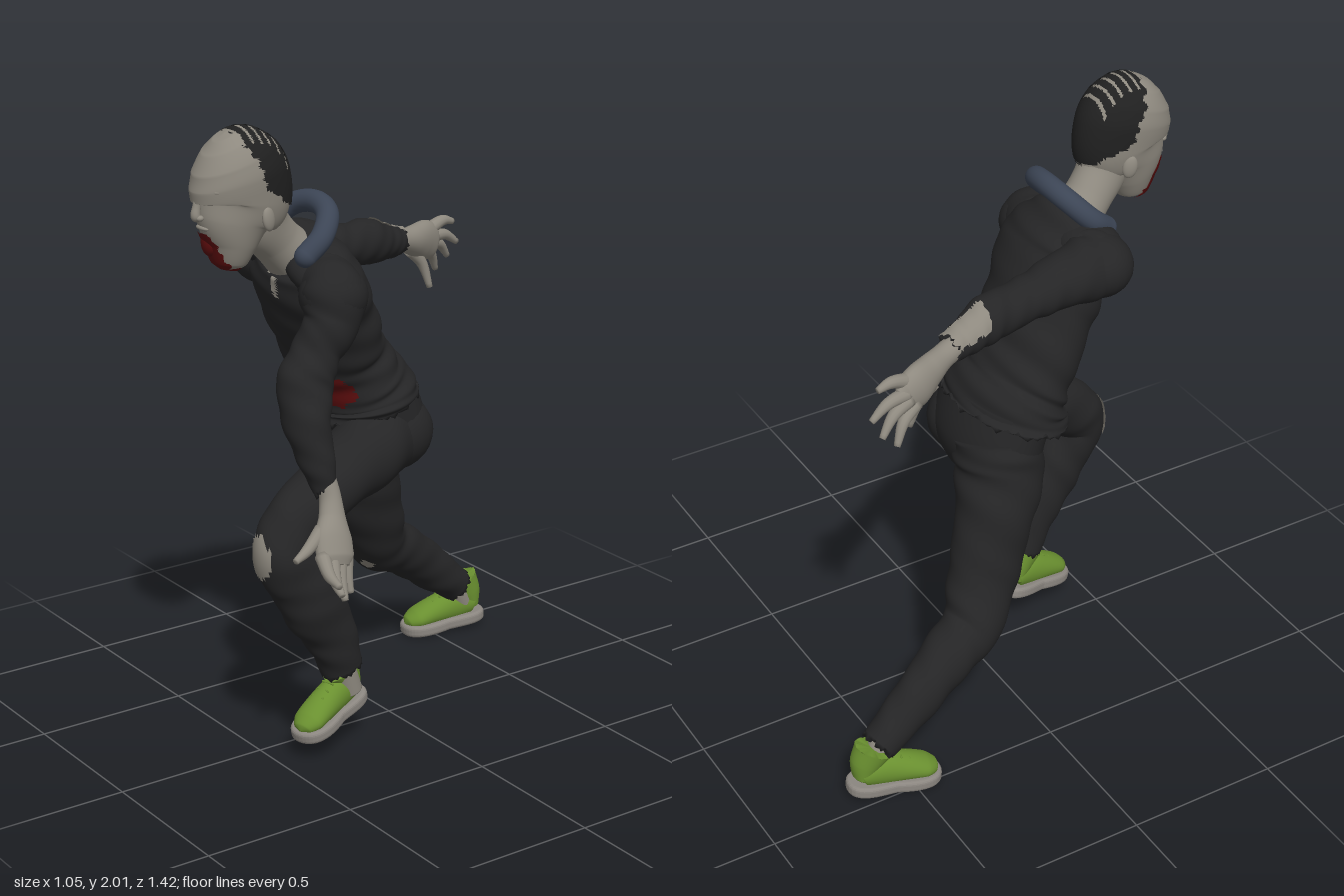
import * as THREE from 'three';

const mat = (name, color, side = THREE.DoubleSide) =>
  Object.assign(new THREE.MeshStandardMaterial({ color, side }), { name });
const M = {
  skin: mat('skin grey', 0x8e897f), cloth: mat('black cloth', 0x252526), hair: mat('dark hair', 0x202020),
  blood: mat('blood red', 0x5a0d0d), collar: mat('collar blue', 0x3c4555),
  shoe: mat('shoe green', 0x6a9030), sole: mat('sole grey', 0x8b8680),
};

// Loft of elliptical rings; each section is [x, y, z, radius sideways, radius across].
// keep(x, y, z) leaves only some faces, which gives torn patches lying on a part.
function loft(secs, { rings = 48, segs = 36, wrinkle = 0, grow = 0, jag = 0, keep } = {}) {
  const path = new THREE.CatmullRomCurve3(secs.map(s => new THREE.Vector3(s[0], s[1], s[2])));
  const size = new THREE.CatmullRomCurve3(secs.map(s => new THREE.Vector3(s[3], s[4] ?? s[3], 0)));
  const P = [], index = [];
  for (let i = 0; i <= rings; i++) {
    const t = i / rings, c = path.getPoint(t), r = size.getPoint(t), T = path.getTangent(t);
    const U = new THREE.Vector3(1, 0, 0).addScaledVector(T, -T.x).normalize();
    const V = new THREE.Vector3().crossVectors(T, U);
    for (let j = 0; j < segs; j++) {
      const a = j / segs * Math.PI * 2;
      const k = 1 + wrinkle * (Math.sin(t * 38 + 2 * Math.sin(a + t * 5)) * 0.6 + Math.sin(t * 61 + 3 * a) * 0.4);
      const p = c.clone().addScaledVector(U, Math.cos(a) * (r.x * k + grow))
        .addScaledVector(V, Math.sin(a) * (r.y * k + grow));
      if (i === rings) p.addScaledVector(T, jag * (Math.sin(j * 2.3) + Math.sin(j * 0.9)));
      P.push(p);
    }
  }
  const face = (a, b, c) => {
    const m = P[a].clone().add(P[b]).add(P[c]).divideScalar(3);
    if (!keep || keep(m.x, m.y, m.z)) index.push(a, b, c);
  };
  for (let i = 0; i < rings; i++) for (let j = 0; j < segs; j++) {
    const a = i * segs + j, b = i * segs + (j + 1) % segs;
    face(a, b, a + segs);
    face(b, b + segs, a + segs);
  }
  if (!keep) { // end caps
    const n = P.length, last = rings * segs;
    P.push(path.getPoint(0), path.getPoint(1));
    for (let j = 0; j < segs; j++) {
      const k = (j + 1) % segs;
      face(n, k, j);
      face(n + 1, last + j, last + k);
    }
  }
  const g = new THREE.BufferGeometry().setFromPoints(P);
  g.setIndex(index);
  g.computeVertexNormals();
  return g;
}

const rough = (x, y, z) => 0.5 * Math.sin(x * 130 + y * 40) + 0.5 * Math.sin(y * 150 + z * 90);
const near = (cx, cy, cz, r, squash = 1) => (x, y, z) =>
  Math.hypot(x - cx, (y - cy) * squash, z - cz) < r * (1 + 0.12 * rough(x, y, z));

export function createModel() {
  const model = new THREE.Group();
  model.name = 'runningFigure';
  const add = (name, geo, material, parent = model) => {
    const m = new THREE.Mesh(geo, material);
    m.name = name;
    parent.add(m);
    return m;
  };
  const ball = (name, material, p, s) => {
    const m = add(name, new THREE.SphereGeometry(1, 24, 16), material);
    m.position.set(...p);
    m.scale.set(...s);
    return m;
  };

  // Shirt, with a flared ragged hem
  const torso = [[-0.035, 1.64, 0.345, 0.08, 0.07], [-0.045, 1.595, 0.31, 0.17, 0.11], [-0.055, 1.51, 0.27, 0.225, 0.145],
    [-0.085, 1.38, 0.2, 0.21, 0.15], [-0.115, 1.25, 0.135, 0.2, 0.145], [-0.12, 1.16, 0.085, 0.21, 0.15],
    [-0.122, 1.11, 0.058, 0.232, 0.17], [-0.122, 1.065, 0.045, 0.242, 0.188]];
  const shirt = { rings: 90, segs: 80, wrinkle: 0.035, jag: 0.008 };
  add('shirt', loft(torso, shirt), M.cloth);
  add('openNeckline', loft(torso, { ...shirt, grow: 0.006,
    keep: (x, y, z) => z > 0.33 && y > 1.54 + Math.abs(x + 0.035) * 0.8 + 0.022 * rough(x, y, z) }), M.skin);
  add('chestRip', loft(torso, { ...shirt, grow: 0.006,
    keep: (x, y, z) => z > 0.3 && y > 1.47 && y < 1.53 && Math.abs(x + 0.018) < 0.01 }), M.skin);
  add('bellyWound', loft(torso, { ...shirt, grow: 0.007, keep: near(-0.015, 1.135, 0.225, 0.09, 1.5) }), M.blood);
  add('woundFlesh', loft(torso, { ...shirt, grow: 0.009, keep: near(-0.095, 1.12, 0.23, 0.02) }), M.skin);

  // Trousers
  const hips = [[-0.12, 0.86, 0, 0.1, 0.07], [-0.12, 0.9, -0.01, 0.19, 0.125], [-0.12, 0.98, -0.01, 0.225, 0.15],
    [-0.12, 1.1, 0.03, 0.22, 0.15]];
  const leftLeg = [[-0.02, 1, -0.05, 0.08, 0.1], [0.03, 0.95, 0.08, 0.125, 0.125], [0.06, 0.88, 0.24, 0.108, 0.105],
    [0.09, 0.78, 0.42, 0.09, 0.097], [0.105, 0.7, 0.475, 0.083, 0.09], [0.112, 0.6, 0.425, 0.08, 0.097],
    [0.112, 0.5, 0.365, 0.077, 0.102], [0.102, 0.38, 0.295, 0.068, 0.085], [0.095, 0.26, 0.25, 0.062, 0.07]];
  const rightLeg = [[-0.19, 1, -0.02, 0.15, 0.14], [-0.22, 0.9, -0.03, 0.145, 0.14], [-0.27, 0.75, -0.08, 0.118, 0.125],
    [-0.3, 0.58, -0.135, 0.102, 0.117], [-0.355, 0.44, -0.21, 0.093, 0.1], [-0.39, 0.37, -0.33, 0.083, 0.087],
    [-0.415, 0.27, -0.46, 0.07, 0.077], [-0.43, 0.165, -0.595, 0.06, 0.06]];
  const leg = { rings: 96, segs: 48, wrinkle: 0.04, jag: 0.006 };
  add('trouserSeat', loft(hips), M.cloth);
  ball('leftButtock', M.cloth, [-0.005, 0.965, -0.01], [0.125, 0.125, 0.14]);
  add('leftTrouserLeg', loft(leftLeg, leg), M.cloth);
  add('rightTrouserLeg', loft(rightLeg, leg), M.cloth);
  add('leftKneeTear', loft(leftLeg, { ...leg, grow: 0.006, keep: near(0.105, 0.7, 0.565, 0.06, 0.9) }), M.skin);
  add('rightKneeTear', loft(rightLeg, { ...leg, grow: 0.006, keep: near(-0.31, 0.4, -0.14, 0.03) }), M.skin);
  add('leftAnkle', loft([[0.095, 0.3, 0.26, 0.04], [0.085, 0.17, 0.22, 0.045]]), M.skin);
  add('rightAnkle', loft([[-0.425, 0.21, -0.57, 0.035], [-0.437, 0.09, -0.625, 0.04]]), M.skin);

  // Shoes: flat rounded sole, wedge-shaped upper, collar rising to a heel tab, and laces
  const outline = new THREE.Shape();
  outline.moveTo(0, -0.145);
  outline.bezierCurveTo(0.07, -0.145, 0.045, -0.04, 0.047, 0);
  outline.bezierCurveTo(0.07, 0.09, 0.055, 0.145, 0, 0.145);
  outline.bezierCurveTo(-0.055, 0.145, -0.07, 0.09, -0.047, 0);
  outline.bezierCurveTo(-0.045, -0.04, -0.07, -0.145, 0, -0.145);
  const soleGeo = new THREE.ExtrudeGeometry(outline, { depth: 0.014, bevelThickness: 0.013, bevelSize: 0.011, bevelSegments: 4, curveSegments: 14 });
  soleGeo.rotateX(Math.PI / 2);
  const upperGeo = loft([[0, 0.03, -0.125, 0.02, 0.02], [0, 0.04, -0.11, 0.043, 0.045], [0, 0.045, -0.04, 0.047, 0.058],
    [0, 0.037, 0.04, 0.052, 0.047], [0, 0.025, 0.1, 0.052, 0.035], [0, 0.016, 0.132, 0.033, 0.022], [0, 0.012, 0.143, 0.005, 0.005]]);
  const ankleGeo = loft([[0, 0.03, -0.11, 0.04, 0.03], [0, 0.08, -0.098, 0.045, 0.052], [0, 0.13, -0.075, 0.049, 0.066]], { jag: 0.003 });
  for (const [name, p, pitch, yaw] of [['left', [0.095, 0.118, 0.298], 0.22, 0.28], ['right', [-0.455, 0.038, -0.555], 0.07, -0.18]]) {
    const shoe = new THREE.Group();
    shoe.name = name + 'Shoe';
    shoe.position.set(...p);
    shoe.rotation.set(pitch, yaw, 0, 'YXZ');
    add('sole', soleGeo, M.sole, shoe);
    add('shoeUpper', upperGeo, M.shoe, shoe);
    add('shoeCollar', ankleGeo, M.shoe, shoe);
    for (let i = 0; i < 3; i++) {
      const lace = add('lace', new THREE.CapsuleGeometry(0.004, 0.04, 4, 8).rotateZ(Math.PI / 2), M.shoe, shoe);
      lace.position.set(0, 0.099 - i * 0.01, -0.015 + i * 0.028);
    }
    model.add(shoe);
  }

  // Sleeves, puffed at the shoulders and elbows
  const sleeve = { rings: 72, wrinkle: 0.045, jag: 0.008 };
  const rightSleeve = [[-0.17, 1.55, 0.31, 0.09, 0.09], [-0.245, 1.55, 0.27, 0.1, 0.1], [-0.262, 1.535, 0.13, 0.085, 0.08],
    [-0.265, 1.515, 0.02, 0.072, 0.068], [-0.285, 1.505, -0.11, 0.068, 0.075], [-0.308, 1.485, -0.2, 0.057, 0.056],
    [-0.328, 1.475, -0.27, 0.045, 0.045]];
  add('leftSleeve', loft([[0.07, 1.53, 0.3, 0.08, 0.08], [0.15, 1.505, 0.31, 0.095, 0.1], [0.172, 1.42, 0.335, 0.082, 0.088],
    [0.17, 1.34, 0.385, 0.075, 0.075], [0.178, 1.26, 0.43, 0.082, 0.088], [0.215, 1.16, 0.455, 0.08, 0.073],
    [0.26, 1.04, 0.45, 0.06, 0.055], [0.288, 0.945, 0.437, 0.036, 0.036]], sleeve), M.cloth);
  add('rightSleeve', loft(rightSleeve, sleeve), M.cloth);
  add('rightSleeveTear', loft(rightSleeve, { ...sleeve, grow: 0.005,
    keep: (x, y, z) => z < -0.14 && y > 1.51 + (z + 0.14) * 0.15 + 0.008 * rough(x, y, z) && x < -0.285 + (z + 0.14) * 0.1 }), M.skin);
  ball('leftShoulder', M.cloth, [0.15, 1.495, 0.31], [0.105, 0.095, 0.105]);
  ball('rightShoulder', M.cloth, [-0.245, 1.545, 0.295], [0.115, 0.1, 0.11]);
  ball('leftShoulderSlope', M.cloth, [0.055, 1.555, 0.3], [0.125, 0.065, 0.1]).rotation.z = -0.5;
  ball('rightShoulderSlope', M.cloth, [-0.18, 1.58, 0.3], [0.14, 0.072, 0.1]);

  // Bare forearms and spread hands; each finger is [base, tip], bowed by a small bend
  function hand(name, arm, fingers, bend) {
    add(name + 'Forearm', loft(arm, { segs: 24 }), M.skin);
    for (const [b, t] of fingers) {
      const m = b.map((v, i) => (v + t[i]) / 2 + bend[i]);
      add(name + 'Finger', loft([[...b, 0.024], [...m, 0.018], [...t, 0.01]], { rings: 12, segs: 12 }), M.skin);
    }
  }
  hand('left', [[0.27, 1.03, 0.45, 0.035], [0.3, 0.94, 0.432, 0.033], [0.325, 0.88, 0.44, 0.034, 0.042],
    [0.36, 0.82, 0.46, 0.037, 0.065], [0.385, 0.775, 0.47, 0.033, 0.064], [0.4, 0.75, 0.475, 0.018, 0.045]],
  [[[0.345, 0.85, 0.49], [0.385, 0.79, 0.61]], [[0.385, 0.785, 0.515], [0.51, 0.735, 0.54]], [[0.39, 0.77, 0.485], [0.48, 0.69, 0.51]],
    [[0.385, 0.77, 0.455], [0.445, 0.655, 0.475]], [[0.375, 0.775, 0.425], [0.415, 0.66, 0.435]]], [0.002, -0.012, 0.006]);
  hand('right', [[-0.305, 1.5, -0.15, 0.04], [-0.34, 1.47, -0.29, 0.036, 0.038], [-0.37, 1.455, -0.36, 0.04, 0.052],
    [-0.4, 1.44, -0.42, 0.04, 0.068], [-0.415, 1.425, -0.465, 0.032, 0.06], [-0.425, 1.42, -0.49, 0.018, 0.042]],
  [[[-0.385, 1.42, -0.36], [-0.37, 1.285, -0.43]], [[-0.405, 1.47, -0.45], [-0.42, 1.48, -0.56]], [[-0.42, 1.44, -0.46], [-0.445, 1.4, -0.595]],
    [[-0.425, 1.42, -0.46], [-0.47, 1.35, -0.575]], [[-0.425, 1.4, -0.44], [-0.475, 1.31, -0.53]]], [-0.003, 0.015, -0.01]);

  // Neck and head
  add('neck', loft([[-0.04, 1.58, 0.33, 0.095, 0.085], [-0.025, 1.65, 0.405, 0.072, 0.078], [-0.005, 1.72, 0.465, 0.07, 0.088],
    [0.003, 1.79, 0.47, 0.072, 0.09], [0.004, 1.83, 0.475, 0.05, 0.06]]), M.skin);
  const skull = [[0.004, 1.588, 0.58, 0.025, 0.025], [0.004, 1.605, 0.578, 0.05, 0.05], [0.004, 1.66, 0.572, 0.073, 0.078],
    [0.004, 1.73, 0.563, 0.091, 0.12], [0.004, 1.79, 0.537, 0.105, 0.16], [0.004, 1.86, 0.544, 0.112, 0.159],
    [0.004, 1.92, 0.56, 0.104, 0.137], [0.004, 1.97, 0.578, 0.073, 0.088], [0.004, 1.992, 0.588, 0.035, 0.042], [0.004, 1.996, 0.59, 0.002, 0.002]];
  const head = { rings: 120, segs: 96 };
  add('head', loft(skull, head), M.skin);
  add('hair', loft(skull, { ...head, grow: 0.005, keep: (x, y, z) => {
    const edge = y > 1.83 ? 0.578 - (2 - y) * 0.44 : 0.504 - (1.83 - y) * 1.6;
    const parting = y > 1.88 && z > 0.42 && Math.abs(x - 0.01) < 0.075 && Math.sin(z * 210 + x * 12) > 0.6;
    return z < edge + 0.012 * rough(x, y, z) && y > 1.75 && !parting;
  } }), M.hair);
  for (const s of [-1, 1]) {
    ball('ear', M.skin, [s * 0.1 + 0.004, 1.747, 0.505], [0.013, 0.037, 0.024]).rotation.set(0.15, s * 0.3, 0);
    ball('eyelid', M.skin, [s * 0.04 + 0.004, 1.808, 0.668], [0.02, 0.01, 0.014]).rotation.y = s * 0.35;
    ball('brow', M.skin, [s * 0.04 + 0.004, 1.84, 0.664], [0.04, 0.016, 0.018]).rotation.y = s * 0.35;
    ball('nostril', M.skin, [s * 0.012 + 0.004, 1.757, 0.685], [0.011, 0.009, 0.012]);
  }
  add('nose', loft([[0.004, 1.835, 0.68, 0.011, 0.01], [0.004, 1.79, 0.688, 0.012, 0.013], [0.004, 1.762, 0.692, 0.015, 0.015],
    [0.004, 1.748, 0.682, 0.006, 0.008]], { rings: 20, segs: 16 }), M.skin);

  // Bloody mouth and jaw
  add('bloodyJaw', loft(skull, { ...head, grow: 0.007, keep: (x, y, z) => z > 0.57
    && y < 1.71 - Math.abs(x) * 0.3 + 0.01 * rough(x, y, z) && Math.abs(x + 0.005) < 0.052 + 0.014 * rough(x, y, z) }), M.blood);
  ball('mouth', M.blood, [-0.003, 1.675, 0.64], [0.034, 0.042, 0.026]);
  ball('upperLip', M.skin, [0.002, 1.724, 0.668], [0.032, 0.008, 0.012]);
  for (let i = 0; i < 5; i++) ball('tooth', M.skin, [-0.024 + i * 0.011, 1.705, 0.66 - Math.abs(i - 2) * 0.003], [0.005, 0.007, 0.005]);

  // Padded neck ring, open at the front, with rounded ends
  const ringPath = [[-0.165, 1.61, 0.375], [-0.178, 1.66, 0.315], [-0.13, 1.715, 0.262], [-0.04, 1.735, 0.243],
    [0.045, 1.715, 0.258], [0.09, 1.66, 0.31], [0.087, 1.61, 0.365]].map(p => new THREE.Vector3(...p));
  add('neckRing', new THREE.TubeGeometry(new THREE.CatmullRomCurve3(ringPath), 60, 0.035, 20), M.collar);
  for (const end of [ringPath[0], ringPath[6]]) ball('neckRingEnd', M.collar, end.toArray(), [0.035, 0.035, 0.035]);
  return model;
}
